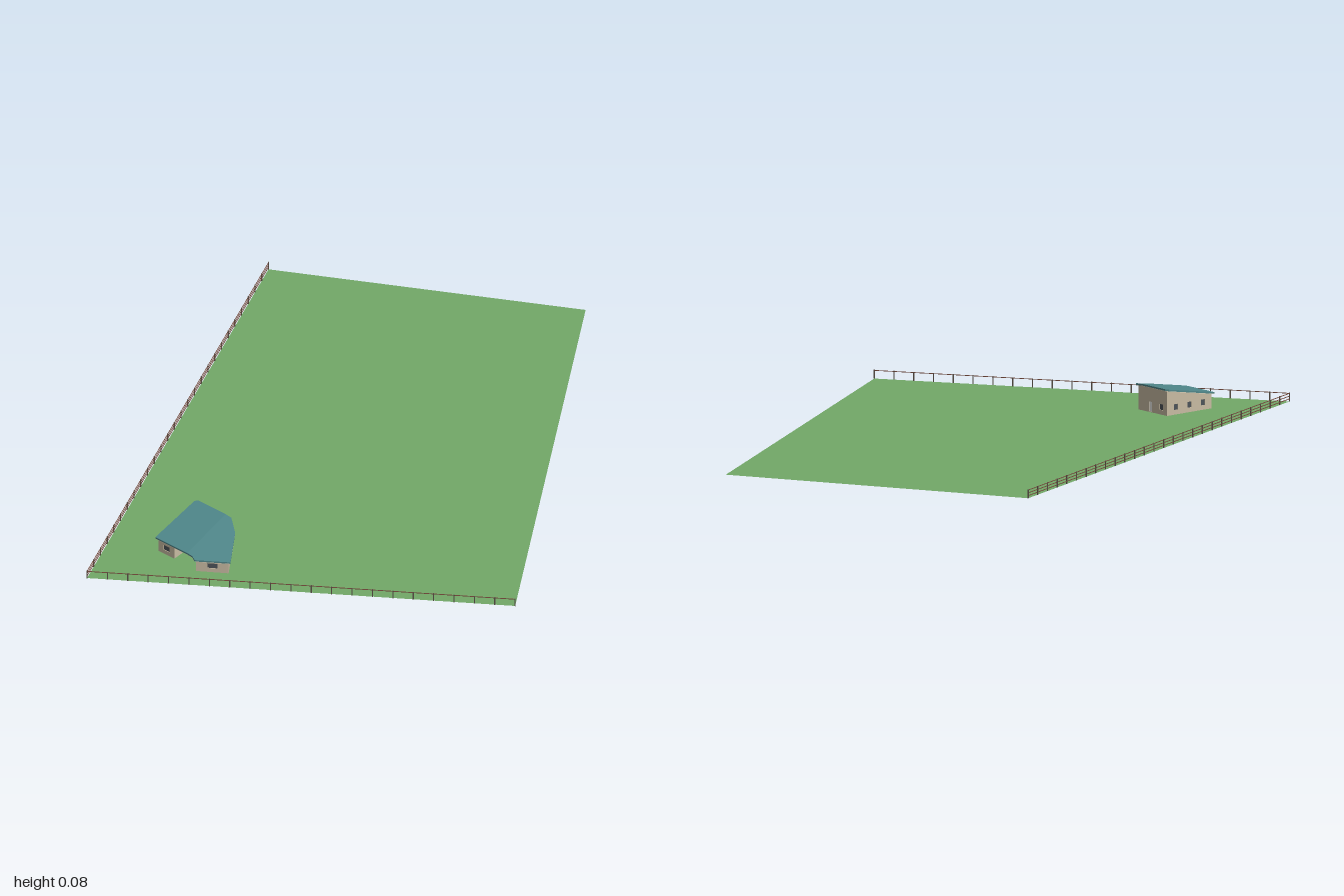
import * as THREE from 'three';

const mat = (name, color, side = THREE.FrontSide) => {
  const m = new THREE.MeshStandardMaterial({ color, side });
  m.name = name;
  return m;
};

// Roof height: the lower of the main slope and the angled wing slope
const roofY = (x, z) => Math.min(
  0.05 + 0.174 * (0.757 - z),
  0.045 + 0.2 * ((0.07 - x) * 0.555 + (0.705 - z) * 0.832)
);

const shapeOf = (pts) => new THREE.Shape(pts.map(([x, z]) => new THREE.Vector2(x, z)));

export function createModel() {
  const grass = mat('grass green', 0x72a868, THREE.DoubleSide);
  const roofMat = mat('roof teal', 0x4f878a);
  const wallMat = mat('wall beige', 0xc8bba2);
  const creamMat = mat('cream', 0xe2dac2);
  const glassMat = mat('window grey', 0x4c5358);
  const doorMat = mat('door white', 0xeeeeea);
  const postMat = mat('post grey', 0x5a5148);
  const railMat = mat('rail brown', 0x74483a);

  const model = new THREE.Group();
  const add = (parent, name, geo, material) => {
    const m = new THREE.Mesh(geo, material);
    m.name = name;
    parent.add(m);
    return m;
  };

  // House footprint, walked so that the interior lies to the local +z of each wall
  const plan = [
    [-0.172, 0.575], [-0.065, 0.575], [-0.042, 0.575], [0.0, 0.612], [0.062, 0.704],
    [-0.02, 0.757], [-0.055, 0.705], [-0.11, 0.705], [-0.11, 0.752], [-0.172, 0.752]
  ];

  // Lawn, open under the house
  const corners = [[0.03, -1], [0.826, 0.277], [-0.248, 0.995], [-0.83, -0.545]];
  const lawn = shapeOf(corners);
  lawn.holes.push(new THREE.Path(plan.map(([x, z]) => new THREE.Vector2(x, z))));
  add(model, 'lawn', new THREE.ShapeGeometry(lawn).rotateX(Math.PI / 2), grass);

  const house = new THREE.Group();
  house.name = 'house';
  model.add(house);

  // Wall with sloping top; openings are [centre fraction, width, bottom, top, kind]
  function wall(name, a, b, openings = [], material = wallMat, t = 0.006) {
    const dx = b[0] - a[0], dz = b[1] - a[1], len = Math.hypot(dx, dz);
    const g = new THREE.Group();
    g.name = name;
    g.position.set(a[0], 0, a[1]);
    g.rotation.y = -Math.atan2(dz, dx);
    const s = shapeOf([[0, 0], [len, 0], [len, roofY(...b) - 0.005], [0, roofY(...a) - 0.005]]);
    for (const [f, w, y0, y1, kind] of openings) {
      const l = f * len - w / 2, r = l + w;
      s.holes.push(new THREE.Path([[l, y0], [l, y1], [r, y1], [r, y0]].map((p) => new THREE.Vector2(...p))));
      const pane = add(g, kind, new THREE.BoxGeometry(w, y1 - y0, 0.002), kind === 'door' ? doorMat : glassMat);
      pane.position.set(f * len, (y0 + y1) / 2, t / 2);
    }
    add(g, 'wall panel', new THREE.ExtrudeGeometry(s, { depth: t, bevelEnabled: false }), material);
    house.add(g);
  }

  const win = (f, w = 0.016) => [f, w, 0.014, 0.032, 'window'];
  const door = (f) => [f, 0.014, 0.002, 0.032, 'door'];
  const openings = [
    [win(0.25), door(0.7)], [], [win(0.5)], [win(0.3), win(0.7)], [win(0.5, 0.03)],
    [win(0.5)], [door(0.5)], [], [win(0.5, 0.024)], [win(0.2), win(0.5), win(0.8)]
  ];
  plan.forEach((p, i) => wall('outer wall', p, plan[(i + 1) % plan.length], openings[i]));

  // Room dividers
  const dividers = [
    [[-0.166, 0.655], [-0.07, 0.655]], [[-0.11, 0.582], [-0.11, 0.705]],
    [[-0.055, 0.582], [-0.055, 0.705]], [[-0.055, 0.69], [0.0, 0.62]]
  ];
  dividers.forEach(([a, b]) => wall('inner wall', a, b, [], creamMat, 0.004));

  // Roof: two slabs meeting on a hip line, each with a pale ceiling below
  const slopes = {
    mainRoof: [[-0.18, 0.575], [-0.172, 0.567], [-0.065, 0.567], [-0.055, 0.757], [-0.18, 0.757]],
    wingRoof: [[-0.065, 0.567], [-0.042, 0.567], [0.005, 0.605], [0.07, 0.705],
      [-0.02, 0.765], [-0.035, 0.757], [-0.055, 0.757]]
  };
  const slab = (pts, top, t) => {
    const g = new THREE.ExtrudeGeometry(shapeOf(pts), { depth: t, bevelEnabled: false }).rotateX(Math.PI / 2);
    const p = g.attributes.position;
    for (let i = 0; i < p.count; i++) p.setY(i, p.getY(i) + top + roofY(p.getX(i), p.getZ(i)));
    g.computeVertexNormals();
    return g;
  };
  for (const [name, pts] of Object.entries(slopes)) {
    add(house, name, slab(pts, 0, 0.005), roofMat);
    add(house, name + 'Ceiling', slab(pts, -0.005, 0.001), creamMat);
  }

  // Fences along two sides of the lawn
  function fence(name, a, b, posts, railHeights) {
    const dx = b[0] - a[0], dz = b[1] - a[1], len = Math.hypot(dx, dz);
    const g = new THREE.Group();
    g.name = name;
    g.position.set(a[0], 0, a[1]);
    g.rotation.y = -Math.atan2(dz, dx);
    for (let i = 0; i <= posts; i++) {
      add(g, 'post', new THREE.BoxGeometry(0.003, 0.027, 0.003), postMat).position.set(len * i / posts, 0.0135, 0);
    }
    for (const y of railHeights) {
      add(g, 'rail', new THREE.BoxGeometry(len, 0.002, 0.0015), railMat).position.set(len / 2, y, 0);
    }
    model.add(g);
  }
  fence('frontFence', corners[2], corners[1], 21, [0.025]);
  fence('sideFence', corners[2], corners[3], 27, [0.008, 0.0165, 0.025]);

  return model;
}
